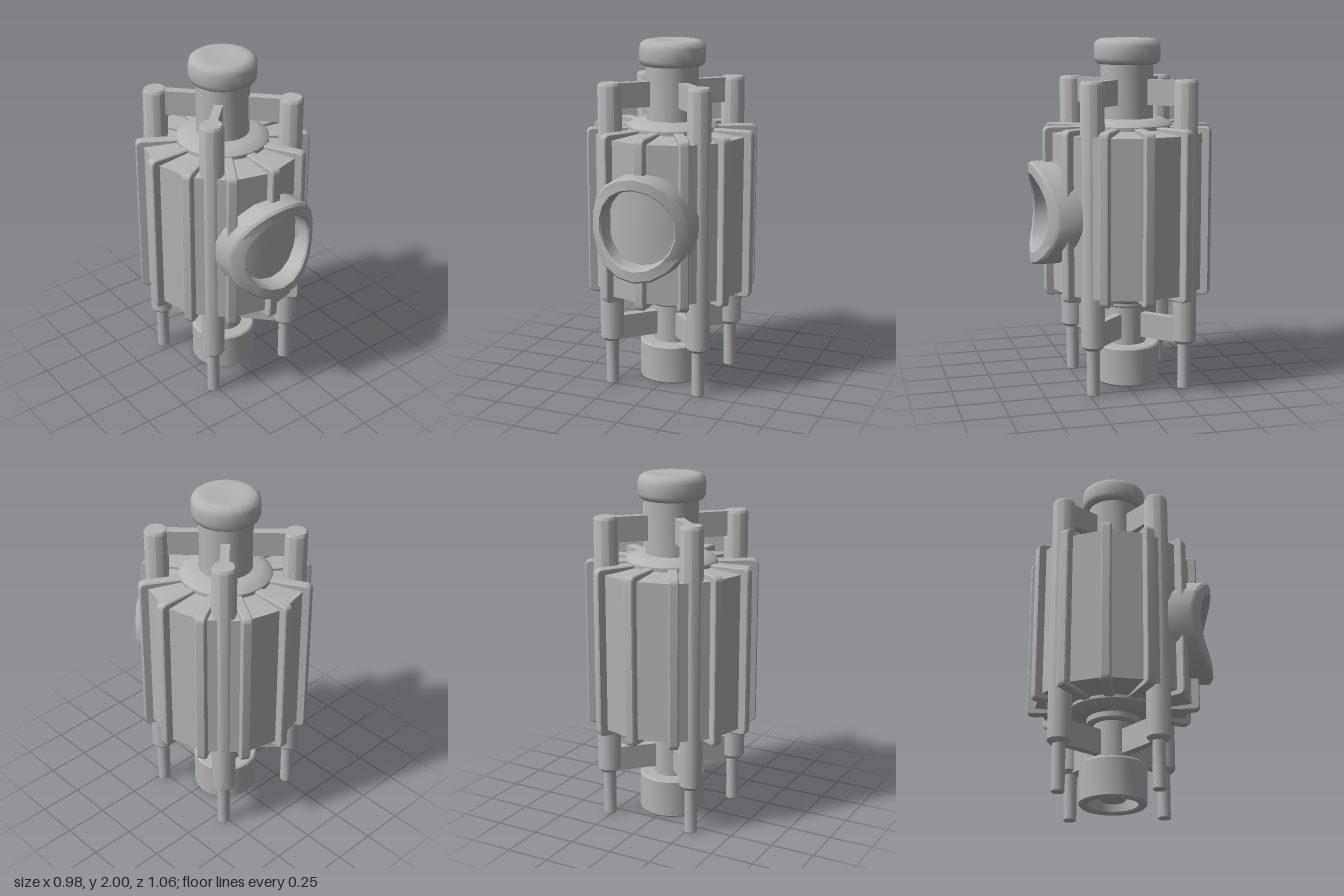
import * as THREE from 'three';
import { toCreasedNormals } from 'three/addons/utils/BufferGeometryUtils.js';

const CZ = -0.04; // z of the main axis
const metal = new THREE.MeshStandardMaterial({ color: 0xb4b4b4 });
metal.name = 'grey metal';

export function createModel() {
  const model = new THREE.Group();
  model.name = 'finnedCylinder';
  const core = new THREE.Group();
  core.name = 'core';
  core.position.z = CZ;
  model.add(core);

  const add = (name, geo, parent = core, crease = 0.6) => {
    const mesh = new THREE.Mesh(toCreasedNormals(geo, crease), metal);
    mesh.name = name;
    parent.add(mesh);
    return mesh;
  };
  // profile runs from the bottom axis round the outside to the top axis
  const lathe = (points, sides) =>
    new THREE.LatheGeometry(points.map(([r, y]) => new THREE.Vector2(r, y)), sides);

  // twelve-sided barrel with gently sloping ends
  add('barrel', lathe([[0, 0.55], [0.25, 0.55], [0.45, 0.575], [0.45, 1.475], [0.25, 1.495], [0, 1.495]], 12), core, 0.1);

  // cooling ribs: rounded slabs standing on the barrel's corners
  const ribGeometry = (y0, y1) => {
    const r0 = 0.1, r1 = 0.49, c = 0.035;
    const s = new THREE.Shape();
    s.moveTo(r0, y0);
    s.lineTo(r1 - c, y0);
    s.quadraticCurveTo(r1, y0, r1, y0 + c);
    s.lineTo(r1, y1 - c);
    s.quadraticCurveTo(r1, y1, r1 - c, y1);
    s.lineTo(r0, y1);
    s.closePath();
    const b = 0.006;
    const g = new THREE.ExtrudeGeometry(s, {
      depth: 0.055 - 2 * b, bevelEnabled: true, bevelSize: b, bevelOffset: -b,
      bevelThickness: b, bevelSegments: 1, curveSegments: 4,
    });
    return g.translate(0, 0, -0.0275 + b);
  };
  for (let i = 0; i < 12; i++) {
    // the front rib is interrupted by the port
    const spans = i === 9 ? [[0.54, 0.76], [1.28, 1.51]] : [[0.54, 1.51]];
    for (const [y0, y1] of spans) add('rib', ribGeometry(y0, y1)).rotation.y = (i * Math.PI) / 6;
  }

  // end collars, necks and caps
  add('topCollar', lathe([[0.26, 1.48], [0.26, 1.515], [0.245, 1.53], [0.2, 1.55], [0, 1.55]], 32));
  add('topNeck', lathe([[0.15, 1.52], [0.15, 1.88]], 24));
  add('topCap', lathe([[0, 1.855], [0.165, 1.855], [0.182, 1.865], [0.19, 1.89], [0.19, 1.955],
    [0.182, 1.98], [0.16, 1.995], [0.13, 2], [0.08, 1.993], [0, 1.99]], 18), core, 0.8);
  add('bottomCollar', lathe([[0, 0.5], [0.2, 0.5], [0.245, 0.52], [0.26, 0.535], [0.26, 0.57]], 32));
  add('bottomStep', lathe([[0, 0.46], [0.14, 0.46], [0.15, 0.47], [0.15, 0.51]], 24));
  add('bottomNeck', lathe([[0.11, 0.2], [0.11, 0.48]], 24));
  add('bottomCap', lathe([[0, 0.03], [0.065, 0.03], [0.075, 0.04], [0.075, 0.08], [0.14, 0.08],
    [0.14, 0.01], [0.15, 0], [0.18, 0], [0.19, 0.01], [0.19, 0.22], [0.18, 0.23], [0, 0.23]], 24));

  // four corner posts with pins below and arms to the necks
  for (let i = 0; i < 4; i++) {
    const corner = new THREE.Group();
    corner.name = 'cornerPost';
    corner.rotation.y = Math.PI / 4 + (i * Math.PI) / 2;
    core.add(corner);
    const d = 0.38;
    add('post', lathe([[0, 0.27], [0.05, 0.27], [0.068, 0.29], [0.068, 1.76], [0.058, 1.775], [0, 1.775]], 10)
      .translate(d, 0, 0), corner, 0.7);
    add('pin', lathe([[0, 0], [0.031, 0], [0.037, 0.006], [0.037, 0.28]], 12).translate(d, 0, 0), corner);
    for (const y of [0.342, 1.7]) {
      add('arm', new THREE.BoxGeometry(0.3, 0.143, 0.05).translate(0.23, y, 0), corner);
    }
  }

  // round port whose rim and floor wrap around the barrel
  const port = lathe([[0.297, -0.2], [0.297, -0.012], [0.285, 0], [0.23, 0], [0.222, -0.012],
    [0.218, -0.11], [0.15, -0.11], [0.075, -0.11], [0, -0.11]], 18);
  port.rotateX(Math.PI / 2);
  const p = port.attributes.position;
  for (let i = 0; i < p.count; i++) {
    const x = p.getX(i);
    p.setZ(i, p.getZ(i) + 0.07 + Math.sqrt(0.46 * 0.46 - x * x));
  }
  port.translate(0, 1.02, 0);
  add('port', port, model);

  return model;
}
